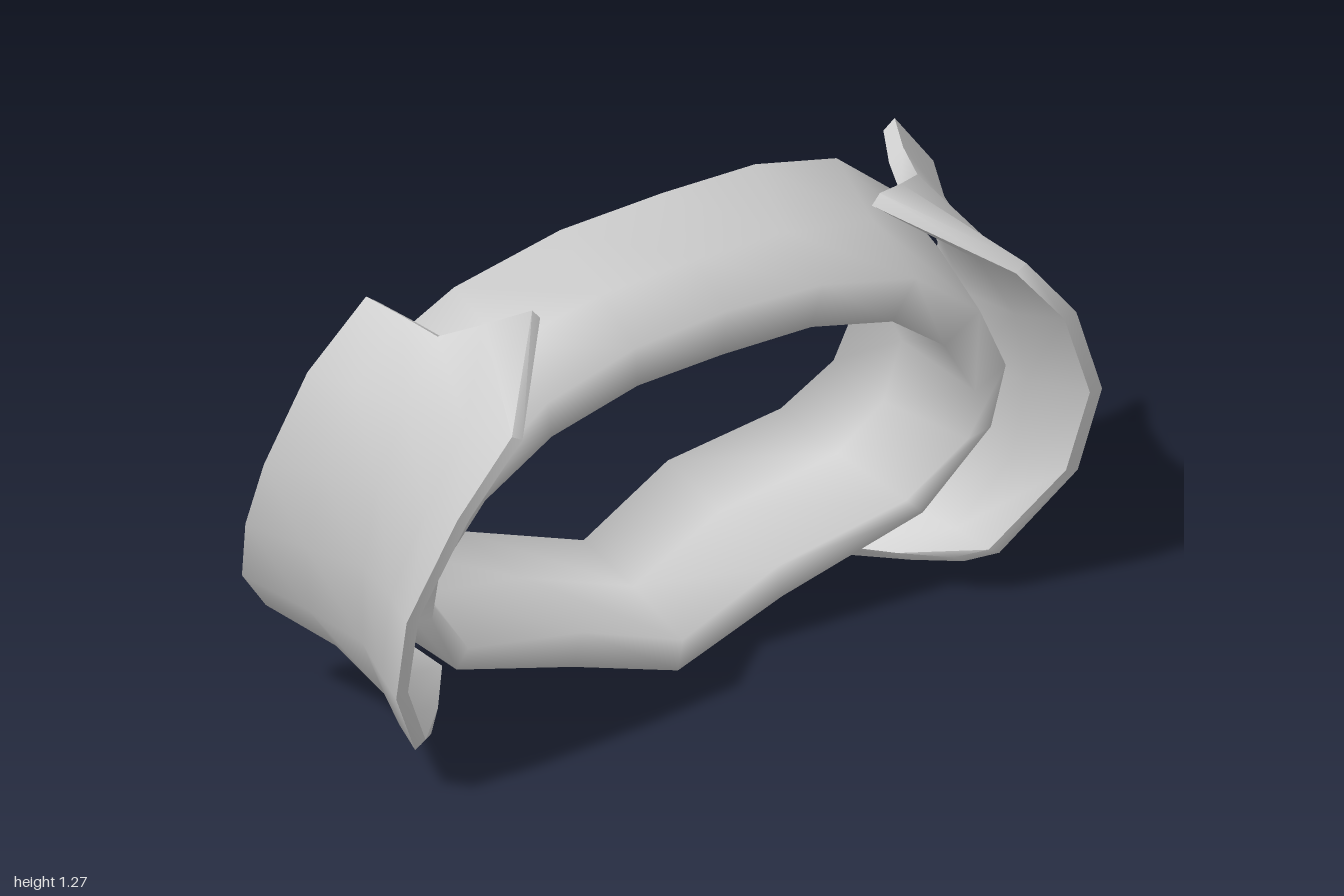
import * as THREE from 'three';
import { toCreasedNormals } from 'three/addons/utils/BufferGeometryUtils.js';

// Skin closed cross-sections (arrays of [x, y, z]); either join the ends or cap them
function loft(sections, { closed = false, mirror = false, crease = 1 }) {
  const n = sections[0].length, rows = sections.length;
  const pos = sections.flat().flatMap(([x, y, z]) => [mirror ? -x : x, y, z]);
  const index = [];
  const tri = (a, b, c) => (mirror ? index.push(a, c, b) : index.push(a, b, c));
  const quad = (a, b, c, d) => { tri(a, b, d); tri(b, c, d); };
  for (let i = 0; i < (closed ? rows : rows - 1); i++) {
    const r0 = i * n, r1 = ((i + 1) % rows) * n;
    for (let j = 0; j < n; j++) {
      const k = (j + 1) % n;
      quad(r0 + j, r1 + j, r1 + k, r0 + k);
    }
  }
  if (!closed) {
    const e = (rows - 1) * n;
    for (let k = 0; k < n / 2 - 1; k++) {
      quad(k, k + 1, n - 2 - k, n - 1 - k);
      quad(e + n - 1 - k, e + n - 2 - k, e + k + 1, e + k);
    }
  }
  const geo = new THREE.BufferGeometry();
  geo.setAttribute('position', new THREE.Float32BufferAttribute(pos, 3));
  geo.setIndex(index);
  return toCreasedNormals(geo, crease);
}

// Belt rims, top centre to bottom centre along the left half
const frontOuter = [[0, 1.07, .24], [.27, 1.06, .25], [.53, 1.0, .26], [.72, .85, .25], [.83, .65, .2],
  [.83, .46, .14], [.67, .26, .09], [.3, .13, .04], [.03, .0, 0]];
const frontInner = [[0, .945, .22], [.25, .945, .23], [.49, .88, .22], [.66, .75, .19], [.77, .58, .16],
  [.77, .44, .13], [.63, .3, .08], [.28, .22, .05], [.03, .09, .02]];
const backOuter = [[0, 1.27, -.02], [.28, 1.25, -.04], [.55, 1.16, -.09], [.76, .98, -.17], [.84, .73, -.25],
  [.81, .48, -.31], [.64, .27, -.35], [.28, .13, -.4], [.03, .06, -.35]];
const backInner = [[0, 1.19, -.09], [.27, 1.17, -.1], [.52, 1.09, -.14], [.71, .93, -.2], [.78, .7, -.28],
  [.72, .46, -.34], [.59, .36, -.37], [.3, .29, -.42], [.03, .18, -.38]];
// Outer face is hollow at the top, full at the hips, flat below; inner face thickens at the hips
const outerBulge = [-.02, -.02, -.01, .01, .02, .02, .015, 0, -.005];
const innerBulge = [-.01, -.01, -.01, -.03, -.06, -.05, -.02, -.01, -.01];

// Point between two others, pushed away from the belt's centre
function between(a, b, push) {
  const p = a.map((v, i) => (v + b[i]) / 2);
  const l = Math.hypot(p[0], p[1] - 0.62);
  return [p[0] + push * p[0] / l, p[1] + push * (p[1] - 0.62) / l, p[2]];
}

function beltGeometry() {
  const half = frontOuter.map((fo, i) => [fo, between(fo, backOuter[i], outerBulge[i]), backOuter[i],
    backInner[i], between(frontInner[i], backInner[i], innerBulge[i]), frontInner[i]]);
  const flipped = half.slice(1, -1).reverse().map(s => s.map(([x, y, z]) => [-x, y, z]));
  return loft([...half, ...flipped], { closed: true, crease: 2.5 });
}

// Hip plate: rows run top to bottom, each from front edge to back edge, pinched in the middle
const plateRows = [
  [[.5, 1.19, .155], [.6, 1.16, .1], [.69, 1.13, .04], [.72, 1.15, -.06], [.76, 1.175, -.15]],
  [[.74, 1.04, .41], [.76, 1.01, .25], [.8, .98, .06], [.84, .99, -.08], [.9, 1.0, -.19]],
  [[.89, .86, .4], [.87, .82, .25], [.87, .8, .05], [.92, .78, -.1], [.99, .76, -.24]],
  [[1, .6, .35], [.94, .59, .2], [.89, .57, .02], [.93, .56, -.15], [1, .58, -.3]],
  [[.98, .36, .28], [.93, .35, .15], [.87, .35, -.01], [.89, .36, -.2], [.96, .4, -.37]],
  [[.84, .13, .16], [.82, .15, .07], [.78, .17, -.05], [.81, .24, -.2], [.87, .28, -.4]],
  [[.78, .1, .1], [.7, .085, 0], [.57, .07, -.17], [.69, .2, -.21], [.82, .24, -.41]],
];
const plateThickness = [.035, .05, .06, .05, .04];

function plateGeometry(mirror) {
  const sections = plateRows.map(row =>
    [...row, ...row.map((p, j) => between(p, p, -plateThickness[j])).reverse()]);
  return loft(sections, { mirror });
}

export function createModel() {
  const model = new THREE.Group();
  model.name = 'armouredBelt';
  const material = new THREE.MeshStandardMaterial({ color: 0xcccccc });
  const add = (name, geometry) => {
    const mesh = new THREE.Mesh(geometry, material);
    mesh.name = name;
    model.add(mesh);
  };
  add('belt', beltGeometry());
  add('leftHipPlate', plateGeometry(false));
  add('rightHipPlate', plateGeometry(true));
  return model;
}
